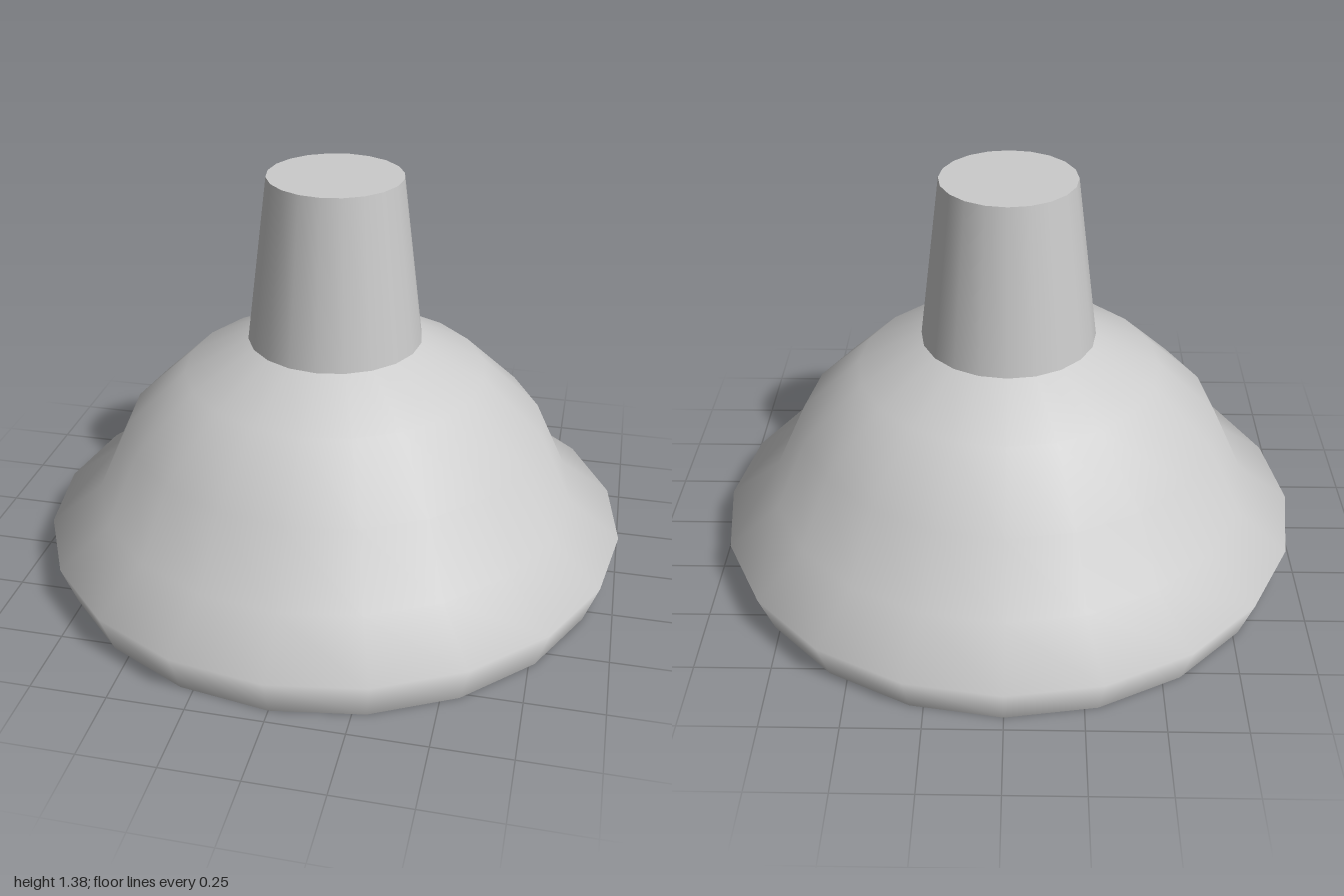
import * as THREE from 'three';

const SIDES = 20;
const material = new THREE.MeshStandardMaterial({ color: 0xcccccc, side: THREE.DoubleSide });

// Revolved thin shell from [radius, height] pairs, listed bottom to top
function revolve(name, profile) {
  const points = profile.map(([r, y]) => new THREE.Vector2(r, y));
  const mesh = new THREE.Mesh(new THREE.LatheGeometry(points, SIDES), material);
  mesh.name = name;
  return mesh;
}

export function createModel() {
  const group = new THREE.Group();
  group.name = 'plungerCup';

  // Hollow dome with a flared lip, open underneath
  group.add(revolve('cup', [
    [0.95, 0], [1, 0.14], [0.825, 0.27], [0.715, 0.51], [0.51, 0.705], [0.293, 0.818],
  ]));

  // Tapered neck
  group.add(revolve('neck', [[0.293, 0.818], [0.223, 1.38]]));

  // Flat cap closing the neck
  const cap = new THREE.Mesh(new THREE.CircleGeometry(0.223, SIDES), material);
  cap.name = 'neckCap';
  cap.rotation.x = -Math.PI / 2;
  cap.position.y = 1.38;
  group.add(cap);

  return group;
}
